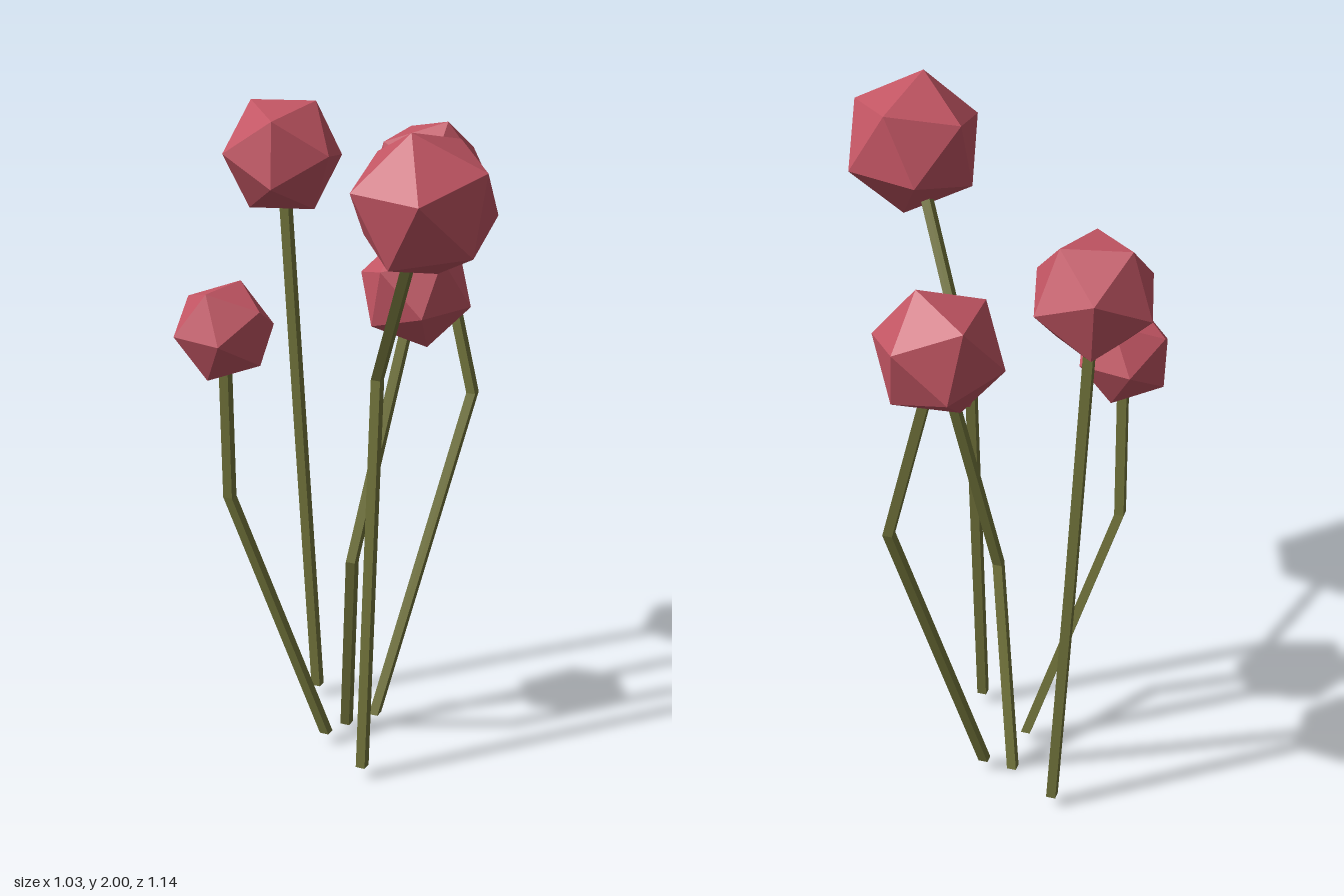
import * as THREE from 'three';

const petalMaterial = new THREE.MeshStandardMaterial({ color: 0xc25563, flatShading: true });
const stemMaterial = new THREE.MeshStandardMaterial({ color: 0x74763c, flatShading: true });

// base, bend, head centre, head radius, and the directions of two neighbouring head corners
const flowers = [
  { path: [[0.077, 0.035, 0.205], [0.085, 1.2, 0.12], [0.335, 1.8, 0.378]], r: 0.207,
    a: [-0.02, 0.2, 0.04], b: [0.07, 0.035, 0.195] },
  { path: [[-0.265, 0.035, -0.205], [-0.305, 0.8, -0.195], [-0.345, 1.715, -0.17]], r: 0.18,
    a: [-0.105, 0.15, -0.01], b: [0.07, 0.135, -0.05] },
  { path: [[-0.025, 0.035, -0.105], [0.16, 1.0, -0.385], [0, 1.622, -0.418]], r: 0.183,
    a: [0.06, 0.175, 0], b: [0.173, 0.024, 0] },
  { path: [[-0.105, 0, -0.075], [-0.008, 0.62, 0.088], [0.11, 1.403, -0.08]], r: 0.165,
    a: [-0.048, 0.156, -0.018], b: [0.095, 0.09, -0.125] },
  { path: [[-0.107, 0.035, 0.062], [-0.345, 0.8, 0.19], [-0.331, 1.315, 0.229]], r: 0.147,
    a: [-0.015, 0.122, 0.08], b: [0.015, 0.12, -0.08] },
];

// Square stem: each level of a tall box is moved onto its path point
function makeStem(path) {
  const geometry = new THREE.BoxGeometry(0.028, 1, 0.028, 1, 2, 1);
  const pos = geometry.attributes.position;
  for (let i = 0; i < pos.count; i++) {
    const [x, y, z] = path[Math.round((pos.getY(i) + 0.5) * 2)];
    pos.setXYZ(i, pos.getX(i) + x, y, pos.getZ(i) + z);
  }
  geometry.computeVertexNormals();
  const stem = new THREE.Mesh(geometry, stemMaterial);
  stem.name = 'stem';
  return stem;
}

// Faceted head, turned so that one edge runs from corner a to corner b
function makeHead({ path, r, a, b }) {
  const from = new THREE.Vector3(...a).normalize();
  const to = new THREE.Vector3(...b).normalize();
  const up = from.clone().add(to).normalize();
  const along = to.sub(from).normalize();
  const side = along.clone().cross(up);
  const head = new THREE.Mesh(new THREE.IcosahedronGeometry(r, 0), petalMaterial);
  head.quaternion.setFromRotationMatrix(new THREE.Matrix4().makeBasis(along, up, side));
  head.position.set(...path[2]);
  head.name = 'flowerHead';
  return head;
}

export function createModel() {
  const model = new THREE.Group();
  model.name = 'flowerBunch';
  for (const spec of flowers) {
    const flower = new THREE.Group();
    flower.name = 'flower';
    flower.add(makeStem(spec.path), makeHead(spec));
    model.add(flower);
  }
  return model;
}
